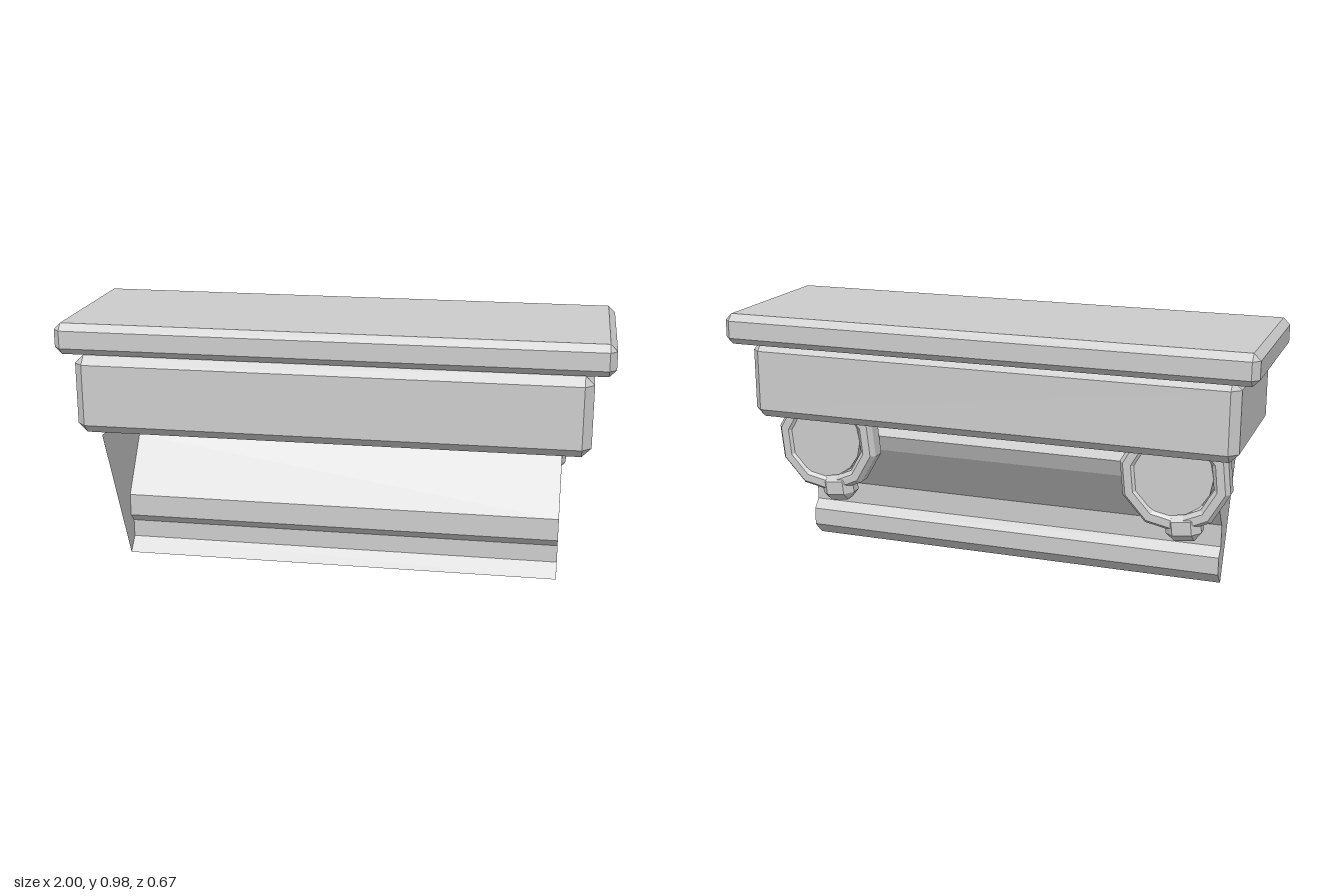
import * as THREE from 'three';
import { ConvexGeometry } from 'three/addons/geometries/ConvexGeometry.js';

const solid = new THREE.MeshStandardMaterial({ color: 0xcccccc, flatShading: true });
const thin = new THREE.MeshStandardMaterial({ color: 0xcccccc, flatShading: true, side: THREE.DoubleSide });

function part(name, geometry, material = solid) {
  const mesh = new THREE.Mesh(geometry, material);
  mesh.name = name;
  return mesh;
}

// Box with every edge and corner cut off by the chamfer c
function chamferBox(w, h, d, c) {
  const points = [];
  for (const sx of [-1, 1]) for (const sy of [-1, 1]) for (const sz of [-1, 1]) {
    for (let keep = 0; keep < 3; keep++) {
      const inset = [0, 1, 2].map((i) => (i === keep ? 0 : c));
      points.push(new THREE.Vector3(
        sx * (w / 2 - inset[0]), sy * (h / 2 - inset[1]), sz * (d / 2 - inset[2])));
    }
  }
  return new ConvexGeometry(points);
}

// Hanging panel: a folded sheet with closed ends and an open sloping front
function createPanel() {
  const group = new THREE.Group();
  group.name = 'foldedPanel';
  const half = 0.83;
  const fold = [[0, 0.567], [-0.13, 0.5], [-0.1, 0.435], [0.05, 0.235],
    [0.05, 0.15], [0.017, 0.117], [0.017, 0.05], [0.067, 0]]; // z, y

  const sheet = new THREE.PlaneGeometry(1, 1, 1, fold.length - 1);
  const pos = sheet.attributes.position;
  for (let i = 0; i < pos.count; i++) {
    const [z, y] = fold[Math.floor(i / 2)];
    pos.setXYZ(i, i % 2 ? -half : half, y, z);
  }
  const flatSheet = sheet.toNonIndexed();
  flatSheet.computeVertexNormals();
  group.add(part('panelSheet', flatSheet, thin));

  const outline = new THREE.Shape([[0.333, 0.567], ...fold].map(([z, y]) => new THREE.Vector2(z, y)));
  for (const side of [-1, 1]) {
    const end = part(side > 0 ? 'leftPanelEnd' : 'rightPanelEnd',
      new THREE.ShapeGeometry(outline).rotateY(-Math.PI / 2), thin);
    end.position.x = side * half;
    group.add(end);
  }
  return group;
}

// Round drum: faceted rim, recessed disc and a lug underneath
function createDrum(name) {
  const group = new THREE.Group();
  group.name = name;
  const section = [[0.145, -0.03], [0.16, -0.045], [0.19, -0.045], [0.205, -0.025],
    [0.205, 0.025], [0.19, 0.045], [0.16, 0.045], [0.145, 0.03], [0.145, -0.03]];
  const rim = part('rim', new THREE.LatheGeometry(
    section.map(([r, y]) => new THREE.Vector2(r, y)), 10).rotateX(Math.PI / 2), thin);
  rim.rotation.z = THREE.MathUtils.degToRad(-6);

  const disc = part('disc', new THREE.CylinderGeometry(0.15, 0.15, 0.07, 16).rotateX(Math.PI / 2));
  disc.position.set(0.01, 0.01, 0);

  const lug = part('lug', chamferBox(0.13, 0.11, 0.1, 0.03));
  lug.position.set(-0.035, -0.18, 0);
  lug.rotation.z = -0.12;
  group.add(rim, disc, lug);
  return group;
}

export function createModel() {
  const model = new THREE.Group();
  model.name = 'shelfUnit';

  const lid = part('topSlab', chamferBox(2, 0.115, 0.666, 0.025));
  lid.position.y = 0.918;

  const body = part('body', chamferBox(1.86, 0.293, 0.598, 0.033));
  body.position.set(0, 0.7135, 0.034);

  const leftDrum = createDrum('leftDrum');
  leftDrum.position.set(0.655, 0.48, -0.166);
  const rightDrum = createDrum('rightDrum');
  rightDrum.position.set(-0.7, 0.48, -0.166);

  model.add(lid, body, createPanel(), leftDrum, rightDrum);
  return model;
}
